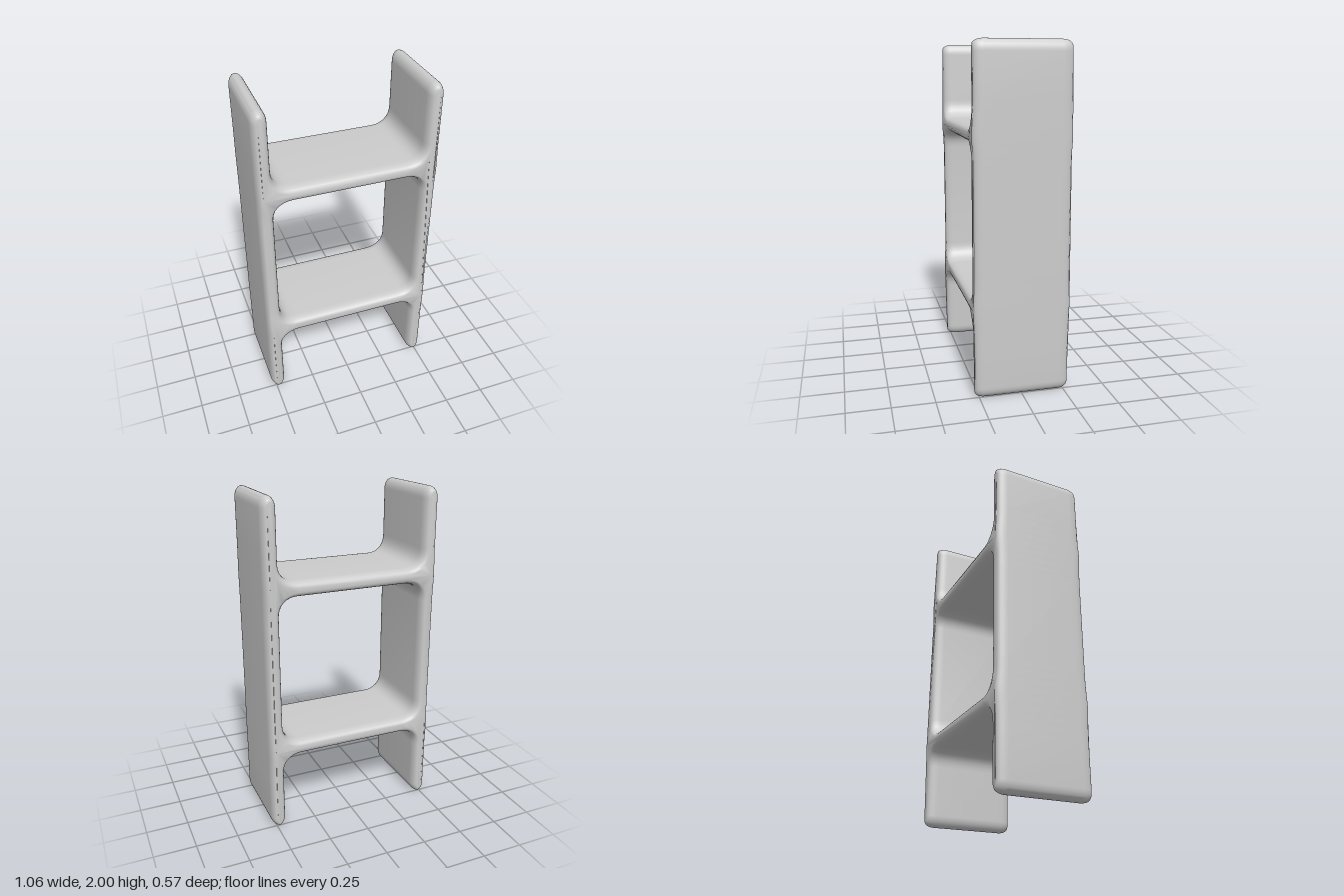
import * as THREE from 'three';
import { toCreasedNormals } from 'three/addons/utils/BufferGeometryUtils.js';

const IN = 0.442, MID = 0.486, OUT = 0.53; // inner face, centre and outer face of a side panel
const LOW = [0.475, 0.565], HIGH = [1.445, 1.535]; // bottom and top of each shelf
const FILLET = 0.11, TIP = 0.065, BEVEL = 0.03, ROUND = 0.06, DEPTH = 0.275;

// Right half of the outer contour, from the lower shelf round the side panel to the upper shelf
function halfContour() {
  const k = 0.55, w = OUT - MID;
  const p = new THREE.Path();
  p.moveTo(0, LOW[0]);
  p.lineTo(IN - FILLET, LOW[0]);
  p.quadraticCurveTo(IN, LOW[0], IN, LOW[0] - FILLET);
  p.lineTo(IN, TIP);
  p.bezierCurveTo(IN, TIP * (1 - k), MID - w * k, 0, MID, 0);
  p.bezierCurveTo(MID + w * k, 0, OUT, TIP * (1 - k), OUT, TIP);
  for (const centre of [0.52, 1.49]) {
    for (let i = -4; i <= 4; i++) p.lineTo(OUT, centre + i * 0.05);
  }
  p.lineTo(OUT, 2 - TIP);
  p.bezierCurveTo(OUT, 2 - TIP * (1 - k), MID + w * k, 2, MID, 2);
  p.bezierCurveTo(MID - w * k, 2, IN, 2 - TIP * (1 - k), IN, 2 - TIP);
  p.lineTo(IN, HIGH[1] + FILLET);
  p.quadraticCurveTo(IN, HIGH[1], IN - FILLET, HIGH[1]);
  p.lineTo(0, HIGH[1]);
  return p.getPoints(8);
}

// Opening between the two shelves
function opening() {
  const x = IN, r = FILLET, b = LOW[1], t = HIGH[0];
  const h = new THREE.Path();
  h.moveTo(-x + r, b);
  h.quadraticCurveTo(-x, b, -x, b + r);
  h.lineTo(-x, t - r);
  h.quadraticCurveTo(-x, t, -x + r, t);
  h.lineTo(x - r, t);
  h.quadraticCurveTo(x, t, x, t - r);
  h.lineTo(x, b + r);
  h.quadraticCurveTo(x, b, x - r, b);
  h.lineTo(-x + r, b);
  return h;
}

export function createModel() {
  const group = new THREE.Group();
  group.name = 'shelfUnit';
  const grey = new THREE.MeshStandardMaterial({ color: 0xcccccc });
  grey.name = 'light grey';

  const right = halfContour();
  const left = right.slice(1, -1).reverse().map((v) => new THREE.Vector2(-v.x, v.y));
  const shape = new THREE.Shape([...right, ...left]);
  shape.holes.push(opening());

  const geometry = new THREE.ExtrudeGeometry(shape, {
    depth: 2 * (DEPTH - ROUND), curveSegments: 8,
    bevelEnabled: true, bevelSize: BEVEL, bevelOffset: -BEVEL, bevelThickness: ROUND, bevelSegments: 6,
  });
  geometry.translate(0, 0, ROUND - DEPTH);

  // Slight swelling of the edges where shelves meet the panels
  const pos = geometry.attributes.position;
  for (let i = 0; i < pos.count; i++) {
    const dx = Math.abs(pos.getX(i)) - MID;
    const dy = Math.abs(pos.getY(i) - 1.005) - 0.485;
    pos.setZ(i, pos.getZ(i) * (1 + 0.03 * Math.exp(-(dx * dx + dy * dy) / 0.008)));
  }

  // Side panels and shelves blended into one smooth body
  const body = new THREE.Mesh(toCreasedNormals(geometry, 1.0), grey);
  body.name = 'panelsAndShelves';
  group.add(body);
  return group;
}
